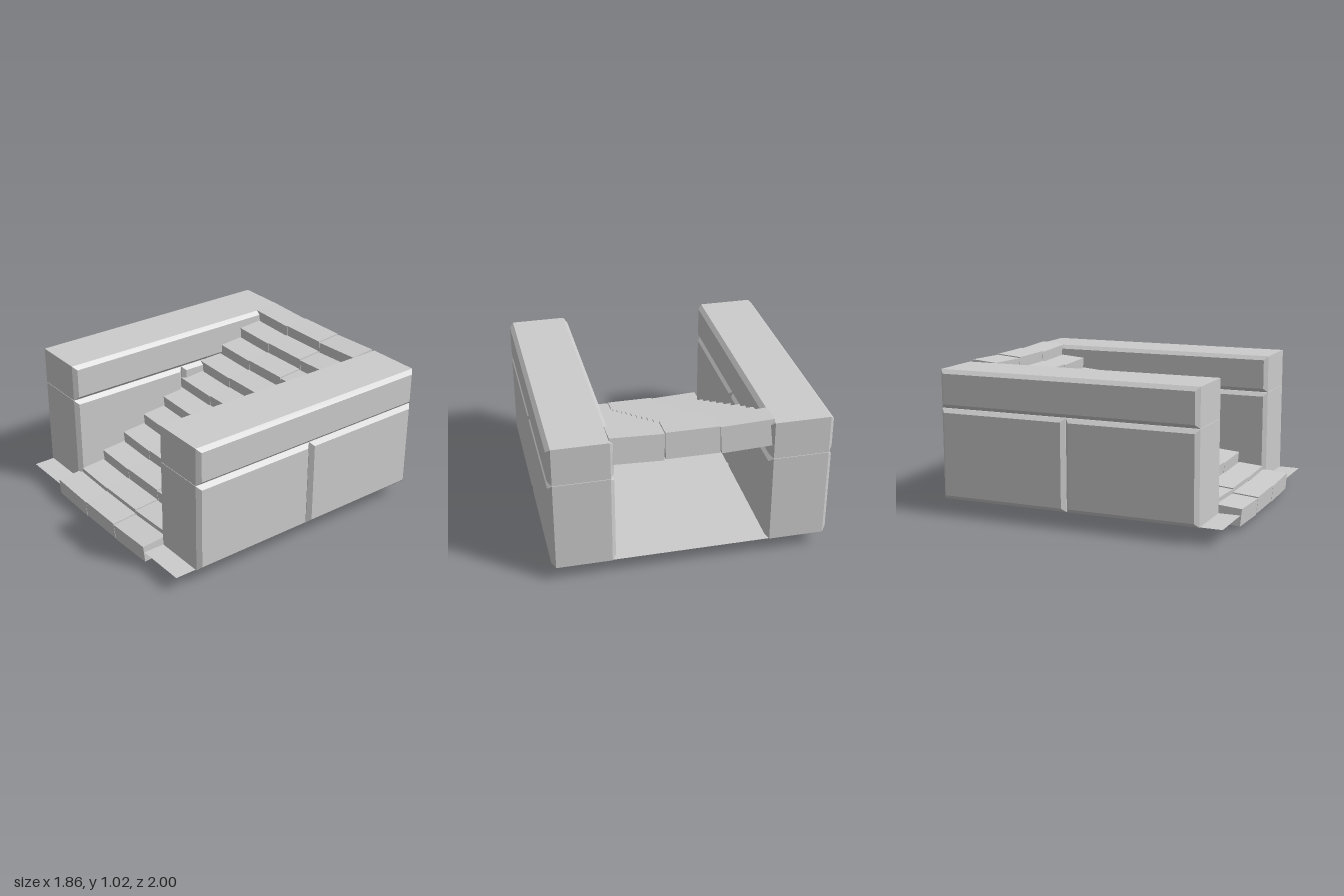
import * as THREE from 'three';

const material = new THREE.MeshStandardMaterial({ color: 0xcccccc, flatShading: true });
const openMaterial = new THREE.MeshStandardMaterial({ color: 0xcccccc, flatShading: true, side: THREE.DoubleSide });

// Stone block whose two x-facing sides are bevelled all round
function bevelledBlock(w, h, d, bevel) {
  const geometry = new THREE.BoxGeometry(w, h, d, 3, 1, 1);
  const p = geometry.attributes.position;
  for (let i = 0; i < p.count; i++) {
    const x = p.getX(i);
    if (Math.abs(x) > w / 3) {
      p.setY(i, p.getY(i) - Math.sign(p.getY(i)) * bevel);
      p.setZ(i, p.getZ(i) - Math.sign(p.getZ(i)) * bevel);
    } else {
      p.setX(i, Math.sign(x) * (w / 2 - bevel));
    }
  }
  const flat = geometry.toNonIndexed();
  flat.computeVertexNormals();
  return flat;
}

// Hollow slab, open underneath, with its origin on the top front edge
function openSlab(w, h, d) {
  const geometry = new THREE.BoxGeometry(w, h, d);
  const index = Array.from(geometry.index.array);
  index.splice(18, 6);
  geometry.setIndex(index);
  geometry.clearGroups();
  return geometry.translate(0, -h / 2, -d / 2);
}

function wall(side) {
  const group = new THREE.Group();
  group.name = side > 0 ? 'leftWall' : 'rightWall';
  const add = (name, y0, y1, z0, z1) => {
    const mesh = new THREE.Mesh(bevelledBlock(0.425, y1 - y0, z1 - z0, 0.027), material);
    mesh.name = name;
    mesh.position.set(side * 0.7165, (y0 + y1) / 2, (z0 + z1) / 2);
    group.add(mesh);
  };
  add('frontBlock', 0.11, 0.735, -0.077, 0.84);
  add('backBlock', 0.11, 0.735, -1, -0.08);
  add('capBlock', 0.738, 1, -1, 0.84);
  return group;
}

export function createModel() {
  const model = new THREE.Group();
  model.name = 'stoneStaircase';
  model.add(wall(1), wall(-1));

  // Ground sheet
  const ground = new THREE.Mesh(new THREE.PlaneGeometry(1.785, 1.985).rotateX(-Math.PI / 2), openMaterial);
  ground.name = 'ground';
  ground.position.set(0, 0.11, -0.002);
  model.add(ground);

  // Three columns of slabs, the outer ones tipped inwards
  const stairs = new THREE.Group();
  stairs.name = 'stairs';
  const rows = 11, run = 0.1793, rise = 0.0895;
  const tall = openSlab(0.354, 0.184, 0.179);
  const low = openSlab(0.354, 0.117, 0.179);
  for (let row = 0; row < rows; row++) {
    for (let col = -1; col <= 1; col++) {
      const slab = new THREE.Mesh(row === 0 ? low : tall, openMaterial);
      slab.name = 'step' + (row + 1);
      const y = row === 0 ? 0.146 : 0.19 + rise * (row - 1);
      slab.position.set(col * 0.356, y, 0.998 - run * row);
      slab.rotation.set(0.085, 0, col * 0.038);
      stairs.add(slab);
    }
  }
  model.add(stairs);
  return model;
}
